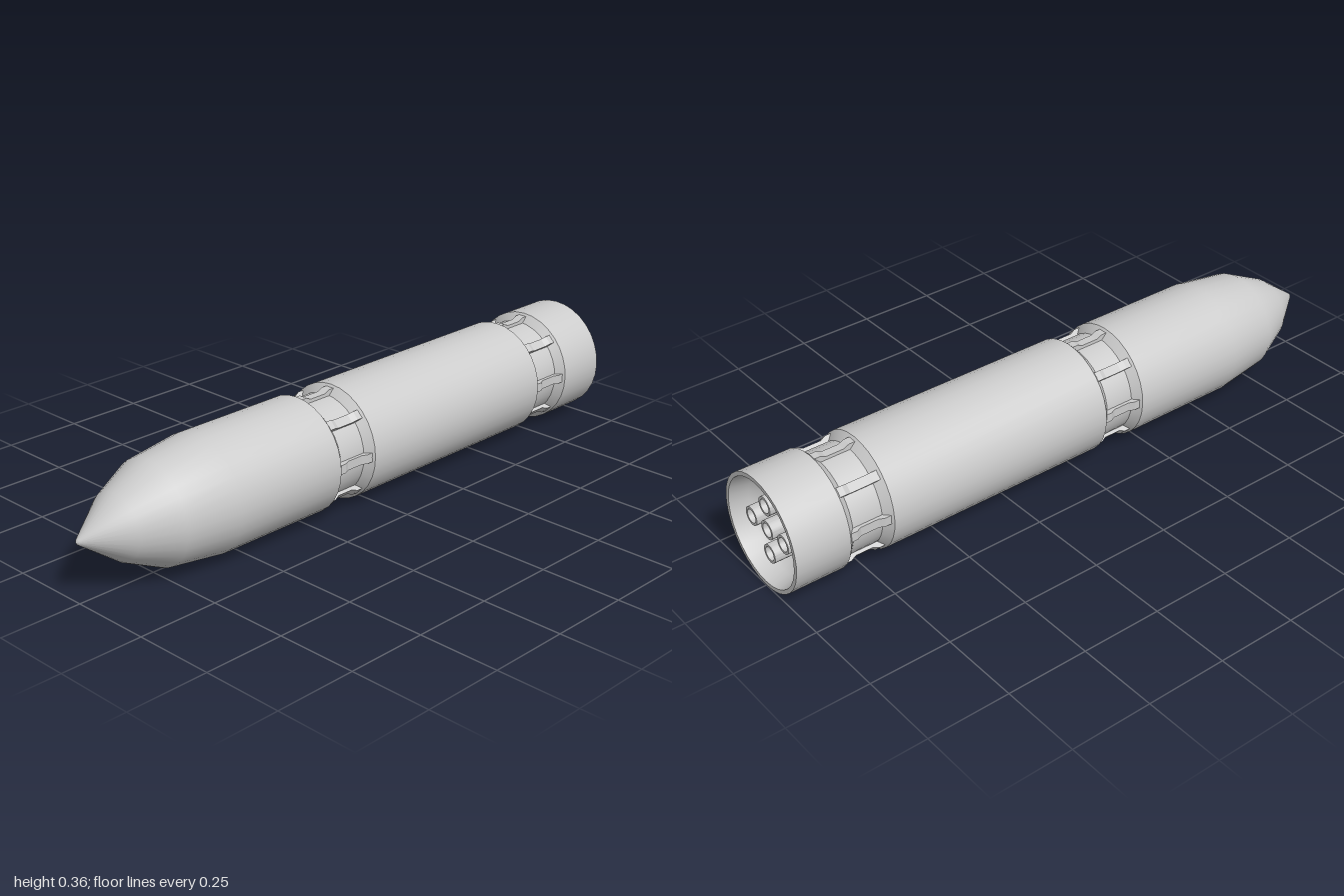
import * as THREE from 'three';
import { toCreasedNormals } from 'three/addons/utils/BufferGeometryUtils.js';

const R = 0.178;       // hull radius
const FLOOR = 0.154;   // radius at the bottom of the grooves
const GROOVES = [-0.76, 0.13];

// Lathe a profile of [radius, z] pairs around the z axis
function latheZ(profile, segments, crease) {
  const points = profile.map(([r, z]) => new THREE.Vector2(r, z));
  return toCreasedNormals(new THREE.LatheGeometry(points, segments).rotateX(Math.PI / 2), crease);
}

// Profile of one joint groove centred on z
const groove = z => [[R, z - 0.07], [FLOOR, z - 0.047], [FLOOR, z + 0.047], [R, z + 0.07]];

// Clip strap: raised ends, lower flat middle, extruded across its width
function strapGeometry() {
  const top = [[-0.064, 0.171], [-0.045, 0.171], [-0.028, 0.163], [0.028, 0.163], [0.045, 0.171], [0.064, 0.171]];
  const shape = new THREE.Shape([
    ...top.map(([z, r]) => new THREE.Vector2(z, r)),
    new THREE.Vector2(0.064, 0.15),
    new THREE.Vector2(-0.064, 0.15),
  ]);
  const geo = new THREE.ExtrudeGeometry(shape, { depth: 0.028, bevelEnabled: false });
  return geo.translate(0, 0, -0.014).rotateY(-Math.PI / 2);
}

export function createModel() {
  const model = new THREE.Group();
  model.name = 'rocket';
  const body = new THREE.Group();
  body.name = 'body';
  body.position.y = R;
  model.add(body);

  const material = new THREE.MeshStandardMaterial({ color: 0xcccccc });
  const add = (name, geometry, parent = body) => {
    const mesh = new THREE.Mesh(geometry, material);
    mesh.name = name;
    parent.add(mesh);
    return mesh;
  };

  // Hull: rear bowl, rim, skirt, two grooves and pointed nose
  add('hull', latheZ([
    [0, -0.865], [0.05, -0.87], [0.095, -0.885], [0.13, -0.91], [0.152, -0.945], [0.165, -1],
    [R, -1],
    ...groove(GROOVES[0]), ...groove(GROOVES[1]),
    [R, 0.58], [0.156, 0.75], [0.1, 0.87], [0.008, 0.995], [0, 1],
  ], 32, 0.6));

  // Eight clip straps around each groove
  const strap = strapGeometry();
  GROOVES.forEach((z, i) => {
    const ring = new THREE.Group();
    ring.name = i ? 'frontStraps' : 'rearStraps';
    ring.position.z = z;
    for (let k = 0; k < 8; k++) add('strap', strap, ring).rotation.z = k * Math.PI / 4;
    body.add(ring);
  });

  // Five hollow thrusters inside the bowl
  const nozzle = latheZ([
    [0, -0.9], [0.02, -0.9], [0.021, -0.98], [0.029, -0.98], [0.029, -0.85],
  ], 20, 0.6);
  const thrusters = new THREE.Group();
  thrusters.name = 'thrusters';
  body.add(thrusters);
  for (const [x, y] of [[0, 0], [1, 0], [-1, 0], [0, 1], [0, -1]]) {
    add('thruster', nozzle, thrusters).position.set(x * 0.08, y * 0.08, 0);
  }
  return model;
}
